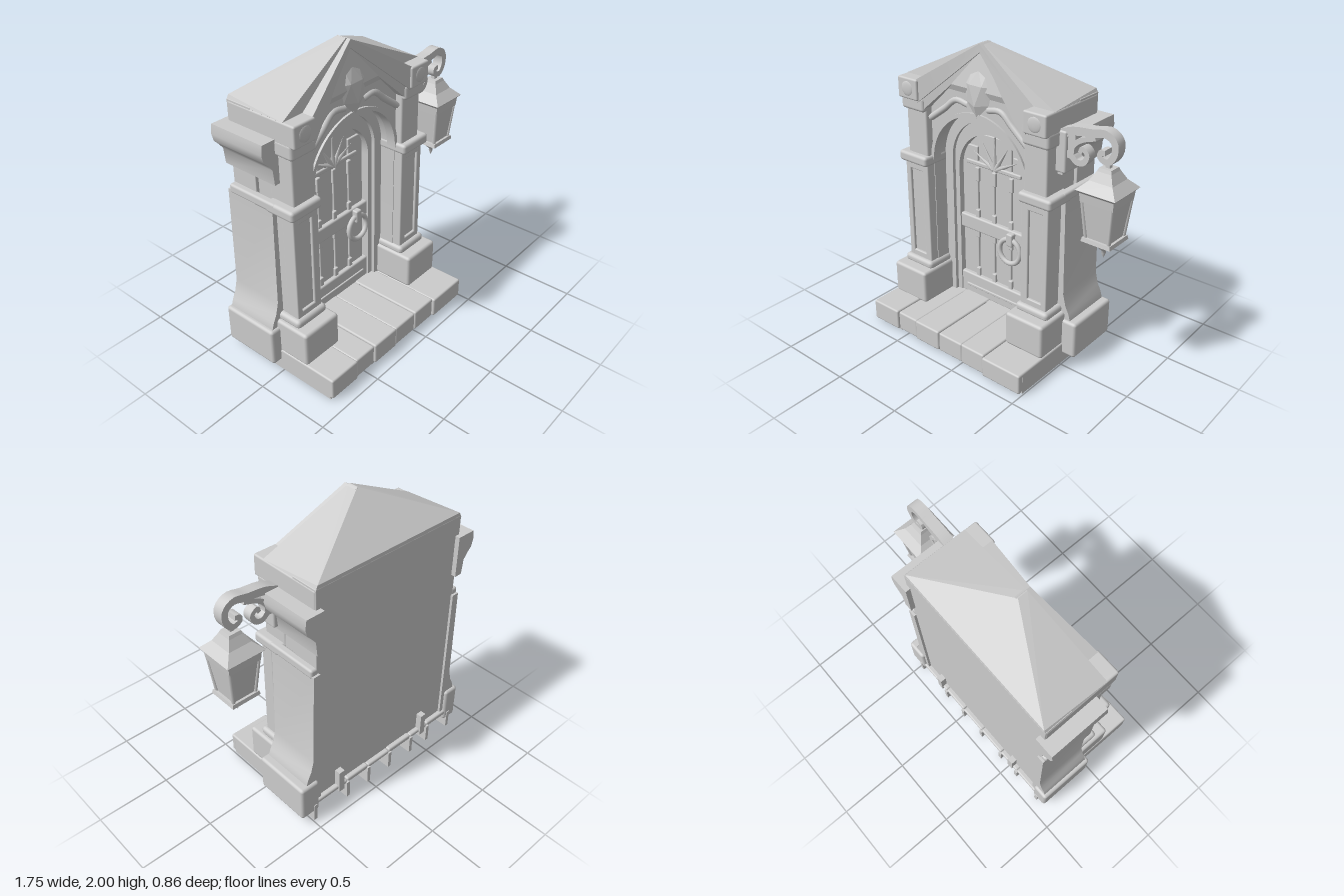
import * as THREE from 'three';
import { RoundedBoxGeometry } from 'three/addons/geometries/RoundedBoxGeometry.js';
import { ConvexGeometry } from 'three/addons/geometries/ConvexGeometry.js';
import { toCreasedNormals } from 'three/addons/utils/BufferGeometryUtils.js';

const V = (x, y, z) => new THREE.Vector3(x, y, z);

export function createModel() {
  const model = new THREE.Group();
  const stone = new THREE.MeshStandardMaterial({ color: 0xcccccc });
  stone.name = 'light grey';
  const portal = new THREE.Group(); // everything symmetric about the doorway
  portal.name = 'portal';
  portal.position.x = -0.16;
  model.add(portal);

  const add = (name, geo, parent = portal) => {
    const m = new THREE.Mesh(geo, stone);
    m.name = name;
    parent.add(m);
    return m;
  };
  // Block given by its limits on each axis, with softened edges
  const block = (name, x0, x1, y0, y1, z0, z1, r = 0.012, parent = portal) => {
    const g = r ? new RoundedBoxGeometry(x1 - x0, y1 - y0, z1 - z0, 2, r)
      : new THREE.BoxGeometry(x1 - x0, y1 - y0, z1 - z0);
    const m = add(name, g, parent);
    m.position.set((x0 + x1) / 2, (y0 + y1) / 2, (z0 + z1) / 2);
    return m;
  };
  // Same block on both sides of the doorway
  const pair = (name, x0, x1, ...rest) => {
    block(name + 'Left', x0, x1, ...rest);
    block(name + 'Right', -x1, -x0, ...rest);
  };
  const extrude = (shape, z0, z1) => {
    const g = new THREE.ExtrudeGeometry(shape, { depth: z1 - z0, bevelEnabled: false, curveSegments: 20 });
    g.translate(0, 0, z0);
    return toCreasedNormals(g, 0.6);
  };
  const poly = pts => new THREE.Shape(pts.map(p => new THREE.Vector2(p[0], p[1])));
  // Round-headed opening
  const archPath = (r, cy, y0, Type = THREE.Path) => {
    const p = new Type();
    p.moveTo(-r, y0);
    p.lineTo(r, y0);
    p.lineTo(r, cy);
    p.absarc(0, cy, r, 0, Math.PI, false);
    p.lineTo(-r, y0);
    return p;
  };
  const archFrame = (name, ro, co, ri, ci, z0, z1) => {
    const s = archPath(ro, co, 0.14, THREE.Shape);
    s.holes.push(archPath(ri, ci, 0.145));
    add(name, extrude(s, z0, z1));
  };

  // Step: paving slabs on thin ribs, open below
  const joints = [-0.65, -0.42, -0.25, -0.04, 0.16, 0.35, 0.65];
  const fronts = [0.41, 0.4, 0.41, 0.405, 0.41, 0.425];
  for (let i = 0; i < 6; i++) {
    const top = 0.15 + (i % 2 ? -0.003 : 0.003);
    block('stepSlab', joints[i], joints[i + 1], 0.115, top, -0.42, fronts[i]);
    block('stepFace', joints[i], joints[i + 1], 0.01, top, fronts[i] - 0.04, fronts[i]);
  }
  for (const x of joints) {
    const c = Math.max(-0.637, Math.min(0.637, x));
    block('stepRib', c - 0.013, c + 0.013, 0, 0.13, -0.43, 0.39, 0);
  }
  for (const x of [-0.36, 0.41]) block('backTab', x - 0.022, x + 0.022, 0.1, 0.27, -0.43, -0.38, 0);

  // Main wall, its back slightly inset between the side parts
  block('backWall', -0.585, 0.585, 0.115, 1.73, -0.388, -0.2, 0.005);
  const wall = poly([[-0.57, 0.14], [-0.385, 0.14], [-0.385, 1.17]]);
  wall.absarc(0, 1.17, 0.385, Math.PI, 0, true);
  [[0.385, 0.14], [0.57, 0.14], [0.56, 1.72], [-0.56, 1.72], [-0.57, 0.14]].forEach(p => wall.lineTo(...p));
  add('frontWall', extrude(wall, -0.21, 0.03));

  // Pillars
  pair('pillarBase', 0.355, 0.645, 0.14, 0.375, -0.1, 0.2, 0.02);
  pair('pillarPlinth', 0.37, 0.62, 0.36, 0.42, -0.09, 0.12, 0.025);
  pair('pillar', 0.39, 0.59, 0.38, 1.16, -0.1, 0.075);
  pair('pillarInnerStile', 0.39, 0.445, 0.4, 1.15, 0, 0.092, 0.008);
  pair('pillarOuterStile', 0.55, 0.592, 0.4, 1.15, 0, 0.092, 0.008);
  pair('pillarTopRail', 0.43, 0.56, 1.08, 1.15, 0, 0.092, 0.008);
  pair('pillarBottomRail', 0.43, 0.56, 0.4, 0.46, 0, 0.092, 0.008);
  pair('pillarBand', 0.38, 0.625, 1.13, 1.2, -0.1, 0.12, 0.02);
  pair('capital', 0.395, 0.568, 1.18, 1.62, -0.1, 0.08);
  pair('capitalLip', 0.395, 0.59, 1.5, 1.6, -0.1, 0.105, 0.02);
  pair('capitalTop', 0.42, 0.588, 1.58, 1.72, -0.385, 0.13);
  block('sideBlockLeft', 0.6, 0.745, 0.07, 0.325, -0.425, -0.02, 0.02);
  block('sideBlockRight', -0.715, -0.6, 0.07, 0.325, -0.425, -0.02, 0.02);
  pair('sideBand', 0.57, 0.625, 1.14, 1.2, -0.39, -0.02, 0.015);

  // Side pilasters with a flared foot, and coved brackets
  const pilaster = [[0.57, 0.14], [0.69, 0.14], [0.69, 0.32], [0.675, 0.37], [0.65, 0.42], [0.63, 0.5], [0.62, 1.16], [0.57, 1.16]];
  const cove = [[0.55, 1.32], [0.605, 1.32], [0.615, 1.42], [0.645, 1.46], [0.675, 1.49], [0.688, 1.54], [0.68, 1.6], [0.55, 1.6]];
  for (const s of [-1, 1]) {
    const flip = pts => poly(pts.map(p => [s * p[0], p[1]]));
    add('sidePilaster', extrude(flip(pilaster), -0.405, -0.04));
    add('sideBracket', extrude(flip(cove), -0.42, -0.02));
    const knob = add('capitalKnob', new THREE.SphereGeometry(0.05, 16, 10));
    knob.scale.z = 0.2;
    knob.position.set(s * 0.505, 1.65, 0.127);
  }

  // Roof: hipped behind, with a recessed gable face in front
  const roofPts = [V(-0.01, 2, -0.015), V(-0.01, 2, -0.08)];
  for (const s of [-1, 1]) {
    roofPts.push(V(s * 0.585, 1.72, 0.045), V(s * 0.585, 1.72, -0.388), V(s * 0.57, 1.75, -0.385),
      V(s * 0.5, 1.68, 0.03), V(s * 0.55, 1.69, -0.388));
  }
  add('roof', new ConvexGeometry(roofPts));

  // Gable bands sweep forward from the apex towards the eaves
  const sweep = g => {
    const p = g.attributes.position;
    for (let i = 0; i < p.count; i++) p.setZ(i, p.getZ(i) - 0.25 * (0.47 - Math.abs(p.getX(i))));
    return toCreasedNormals(g, 0.5);
  };
  const chevron = (outer, x1, y1, inner, x0, y0) => poly([[0, outer], [x1, y1], [x0, y0], [0, inner], [-x0, y0], [-x1, y1]]);
  add('gableBand', sweep(extrude(chevron(1.998, 0.48, 1.69, 1.945, 0.43, 1.57), 0.03, 0.128)));
  add('gableMoulding', sweep(extrude(chevron(1.97, 0.46, 1.62, 1.915, 0.405, 1.52), 0.03, 0.112)));

  // Gable ornament: pointed shield with leaves curling down along the arch
  const gem = add('gableShield', new ConvexGeometry([V(0, 0.15, 0), V(0.06, 0.13, 0), V(-0.06, 0.13, 0), V(0.11, 0.06, 0), V(-0.11, 0.06, 0),
    V(0.09, -0.05, 0), V(-0.09, -0.05, 0), V(0, -0.15, 0), V(0.05, 0.06, 0.03), V(-0.05, 0.06, 0.03), V(0, -0.07, 0.03), V(0, 0, -0.04)]));
  gem.position.set(0, 1.69, 0.03);
  gem.rotation.x = -0.08;
  for (const s of [-1, 1]) {
    const path = new THREE.CatmullRomCurve3([V(s * 0.08, 1.61, 0.025), V(s * 0.18, 1.62, 0.025), V(s * 0.27, 1.55, 0.03), V(s * 0.39, 1.46, 0.04)]);
    add('gableLeaf', new THREE.TubeGeometry(path, 16, 0.022, 8));
  }

  // Arch mouldings around the deep-set door
  const hood = new THREE.Shape();
  hood.absarc(0, 1.17, 0.4, 0, Math.PI, false);
  hood.absarc(0, 1.17, 0.375, Math.PI, 0, true);
  add('archHood', extrude(hood, -0.02, 0.045));
  archFrame('outerDoorFrame', 0.39, 1.17, 0.32, 1.165, -0.21, -0.075);
  archFrame('innerDoorFrame', 0.335, 1.17, 0.285, 1.1, -0.21, -0.1);

  // Door: planks, rails, straps and fan
  const door = new THREE.Group();
  door.name = 'door';
  door.position.set(-0.01, 0, -0.055);
  portal.add(door);
  add('doorBacking', extrude(archPath(0.3, 1.1, 0.14, THREE.Shape), -0.16, -0.1), door);
  for (let i = 0; i < 4; i++) {
    const x = -0.285 + i * 0.1425, edge = i === 0 || i === 3;
    block('doorPlank', x + 0.005, x + 0.1375, 0.15, edge ? 1.26 : 1.36, -0.115, -0.085, 0.006, door);
  }
  block('bottomRail', -0.29, 0.3, 0.14, 0.3, -0.12, -0.055, 0.012, door);
  block('bottomRailLip', -0.23, 0.25, 0.2, 0.22, -0.06, -0.045, 0.005, door);
  block('middleRail', -0.29, 0.3, 0.65, 0.755, -0.12, -0.055, 0.012, door);
  for (const x of [-0.142, 0, 0.142]) {
    for (const [y0, y1] of [[0.29, 0.36], [0.6, 0.66], [0.75, 0.81], [1.02, 1.12]]) {
      block('doorStrap', x - 0.016, x + 0.016, y0, y1, -0.1, -0.068, 0.006, door);
    }
  }
  block('fanBar', -0.24, 0.22, 1.13, 1.16, -0.1, -0.072, 0.008, door);
  for (let i = 0; i < 5; i++) {
    const a = (i - 2) * 0.55, len = i === 2 ? 0.22 : 0.2;
    const spike = add('fanSpike', new THREE.ConeGeometry(0.022, len, 6), door);
    spike.position.set(-Math.sin(a) * len * 0.55, 1.14 + Math.cos(a) * len * 0.5, -0.085);
    spike.rotation.z = a;
  }

  // Ring handle
  block('handlePlate', 0.147, 0.197, 0.66, 0.75, -0.06, -0.015, 0.01, door);
  const ring = add('handleRing', new THREE.TorusGeometry(0.085, 0.017, 10, 32), door);
  ring.position.set(0.17, 0.62, -0.03);
  ring.rotation.x = -0.08;

  // Lantern on a scrolled iron arm
  const arm = new THREE.Group();
  arm.name = 'lanternArm';
  arm.position.z = -0.045;
  model.add(arm);
  const ribbon = (name, pts, w0, w1, depth) => {
    const c = new THREE.CatmullRomCurve3(pts.map(p => V(p[0], p[1], 0)));
    const a = [], b = [], n = 28;
    for (let i = 0; i <= n; i++) {
      const t = i / n, p = c.getPoint(t), d = c.getTangent(t), w = (w0 + (w1 - w0) * t) / 2;
      a.push([p.x - d.y * w, p.y + d.x * w]);
      b.unshift([p.x + d.y * w, p.y - d.x * w]);
    }
    add(name, extrude(poly(a.concat(b)), -depth / 2, depth / 2), arm);
  };
  ribbon('armScroll', [[0.42, 1.575], [0.52, 1.615], [0.64, 1.63], [0.73, 1.645], [0.785, 1.61], [0.79, 1.54],
    [0.75, 1.485], [0.7, 1.5], [0.7, 1.53], [0.73, 1.535]], 0.055, 0.03, 0.07);
  ribbon('armCurl', [[0.44, 1.46], [0.5, 1.46], [0.54, 1.43], [0.59, 1.44], [0.61, 1.49], [0.575, 1.52], [0.56, 1.49]], 0.045, 0.025, 0.06);
  ribbon('armBrace', [[0.5, 1.44], [0.51, 1.52], [0.57, 1.57], [0.66, 1.6]], 0.04, 0.025, 0.06);
  block('armWallPlate', 0.4, 0.475, 1.34, 1.6, -0.045, 0.045, 0.012, arm);
  block('lanternHook', 0.725, 0.755, 1.43, 1.5, -0.015, 0.015, 0.005, arm);

  const lantern = new THREE.Group();
  lantern.name = 'lantern';
  lantern.position.x = 0.74;
  arm.add(lantern);
  // Four-sided tapered section, sizes are half widths
  const taper = (name, top, bottom, y0, y1) => {
    const g = new THREE.CylinderGeometry(top * Math.SQRT2, bottom * Math.SQRT2, y1 - y0, 4).toNonIndexed();
    g.rotateY(Math.PI / 4);
    g.translate(0, (y0 + y1) / 2, 0);
    g.computeVertexNormals();
    add(name, g, lantern);
  };
  taper('lanternCap', 0.04, 0.048, 1.425, 1.445);
  taper('lanternRoofUpper', 0.048, 0.078, 1.37, 1.425);
  taper('lanternRoofLower', 0.078, 0.133, 1.315, 1.37);
  taper('lanternEave', 0.133, 0.115, 1.295, 1.315);
  taper('lanternCollar', 0.115, 0.11, 1.24, 1.295);
  taper('lanternGlass', 0.106, 0.078, 1.0, 1.25);
  taper('lanternBase', 0.095, 0.1, 0.985, 1.01);
  for (let i = 0; i < 4; i++) {
    const sx = i % 2 ? 1 : -1, sz = i < 2 ? 1 : -1;
    const path = new THREE.LineCurve3(V(sx * 0.078, 1.0, sz * 0.078), V(sx * 0.101, 1.25, sz * 0.101));
    add('lanternPost', new THREE.TubeGeometry(path, 1, 0.012, 6), lantern);
  }
  const finial = [[0, 0.865], [0.014, 0.9], [0.012, 0.915], [0.03, 0.93], [0.05, 0.955], [0.05, 0.975], [0.035, 0.99]];
  add('lanternFinial', new THREE.LatheGeometry(finial.map(p => new THREE.Vector2(...p)), 12), lantern);

  return model;
}
